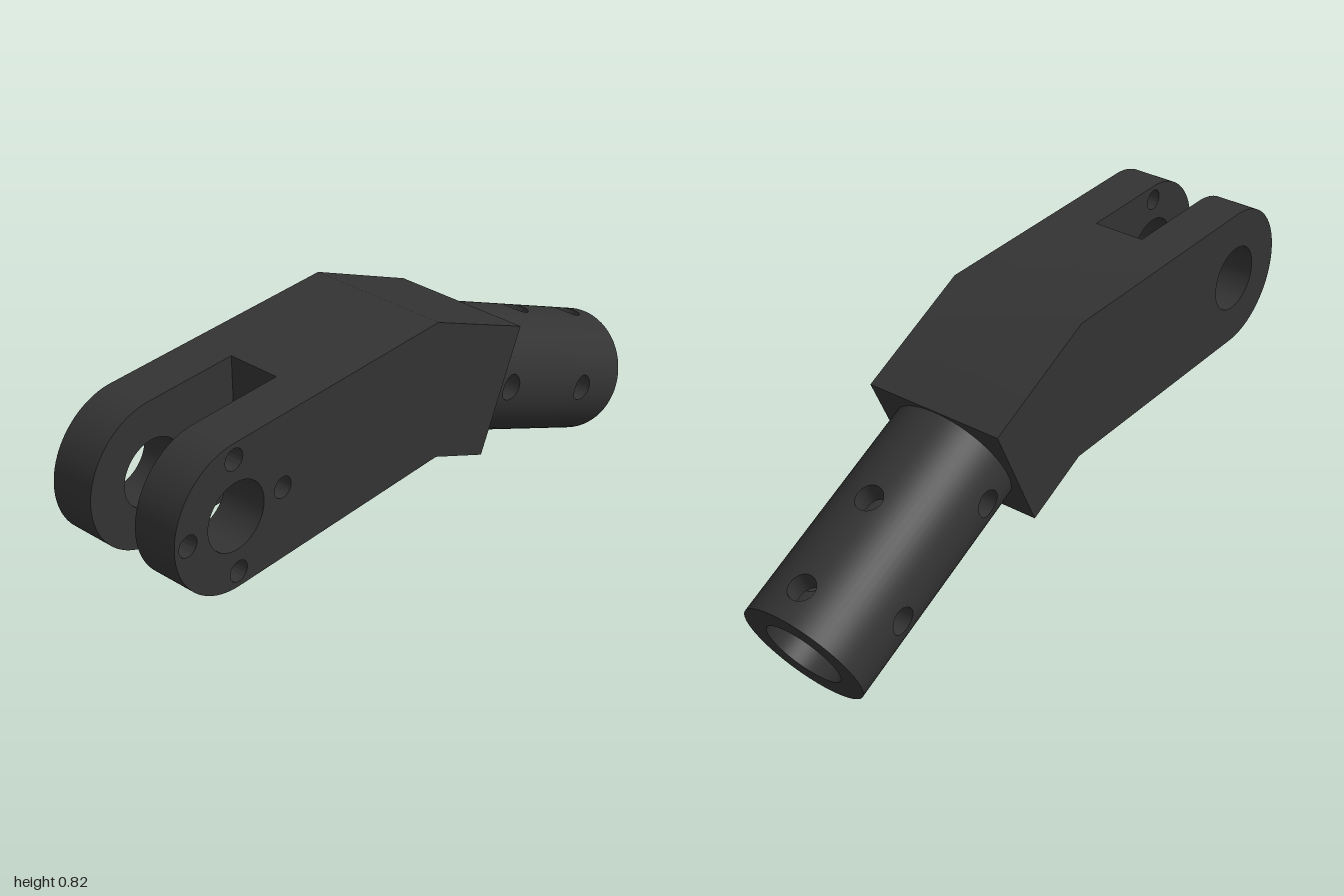
import * as THREE from 'three';
import { toCreasedNormals } from 'three/addons/utils/BufferGeometryUtils.js';

const material = new THREE.MeshStandardMaterial({ color: 0x333333 });
const HALF = 0.217, SLOT = 0.08, SLOT_END = -0.487;
const PIVOT = { x: -0.785, y: 0.6, r: 0.215 };

function addMesh(parent, name, geometry) {
  const mesh = new THREE.Mesh(geometry, material);
  mesh.name = name;
  parent.add(mesh);
}

// Extrude a shape between two depths, keeping curves smooth and edges sharp
function slab(shape, z0, z1) {
  const geo = new THREE.ExtrudeGeometry(shape, { depth: z1 - z0, bevelEnabled: false, curveSegments: 32 });
  geo.translate(0, 0, z0);
  return toCreasedNormals(geo, 0.6);
}

function drill(shape, x, y, r) {
  const hole = new THREE.Path();
  hole.absarc(x, y, r, 0, Math.PI * 2, true);
  shape.holes.push(hole);
}

// Rounded fork arm with its pivot hole
function armShape() {
  const { x, y, r } = PIVOT;
  const shape = new THREE.Shape();
  shape.moveTo(SLOT_END, y + r);
  shape.lineTo(x, y + r);
  shape.absarc(x, y, r, Math.PI / 2, Math.PI * 1.5, false);
  shape.lineTo(SLOT_END, y - r);
  shape.closePath();
  drill(shape, x, y, 0.1);
  return shape;
}

// Tube along +x, cross-drilled: columns of quads broken where they meet a hole
function drilledTube(length, outer, inner, holeR, holesBySide) {
  const pos = [], nor = [];
  const quad = (p, n) => {
    const face = p[1].clone().sub(p[0]).cross(p[2].clone().sub(p[0]));
    const order = face.dot(n[0].clone().add(n[2])) > 0 ? [0, 1, 2, 0, 2, 3] : [0, 2, 1, 0, 3, 2];
    for (const i of order) {
      pos.push(...p[i].toArray());
      nor.push(...n[i].toArray());
    }
  };
  const radial = (a) => new THREE.Vector3(0, Math.cos(a), Math.sin(a));
  const at = (t, r, a) => radial(a).multiplyScalar(r).setX(t);
  const STEPS = 16, GAP = 12;

  for (let side = 0; side < 4; side++) {
    const centre = side * Math.PI / 2, holes = holesBySide[side % 2];
    // Column angles: first across the hole, then on to the next side's hole
    const columns = [];
    for (let k = 0; k <= STEPS; k++) {
      const phi = Math.PI * k / STEPS, s = -holeR * Math.cos(phi);
      columns.push({ o: centre + Math.asin(s / outer), i: centre + Math.asin(s / inner), h: holeR * Math.sin(phi), phi });
    }
    const edge = columns[STEPS];
    for (let k = 1; k <= GAP; k++) {
      const f = k / GAP;
      const across = (from) => from + f * (Math.PI / 2 - 2 * (from - centre));
      columns.push({ o: across(edge.o), i: across(edge.i), h: 0 });
    }
    for (let c = 0; c < columns.length - 1; c++) {
      const A = columns[c], B = columns[c + 1], inHole = c < STEPS;
      const cutsOf = (col) => inHole
        ? [0, ...holes.flatMap((t) => [t - col.h, t + col.h]), length]
        : [0, length];
      const ca = cutsOf(A), cb = cutsOf(B);
      // Outer skin and bore
      for (let j = 0; j < ca.length; j += 2) {
        for (const [r, key, sign] of [[outer, 'o', 1], [inner, 'i', -1]]) {
          const na = radial(A[key]).multiplyScalar(sign), nb = radial(B[key]).multiplyScalar(sign);
          quad([at(ca[j], r, A[key]), at(cb[j], r, B[key]), at(cb[j + 1], r, B[key]), at(ca[j + 1], r, A[key])],
            [na, nb, nb, na]);
        }
      }
      // Walls of the cross holes
      if (inHole) {
        const tangent = new THREE.Vector3(0, -Math.sin(centre), Math.cos(centre));
        const wall = (phi, dir) => tangent.clone().multiplyScalar(Math.cos(phi)).setX(-dir * Math.sin(phi));
        for (const t of holes) for (const dir of [-1, 1]) {
          const ta = t + dir * A.h, tb = t + dir * B.h;
          const na = wall(A.phi, dir), nb = wall(B.phi, dir);
          quad([at(ta, outer, A.o), at(tb, outer, B.o), at(tb, inner, B.i), at(ta, inner, A.i)], [na, nb, nb, na]);
        }
      }
      // End ring
      const n = new THREE.Vector3(1, 0, 0);
      quad([at(length, outer, A.o), at(length, outer, B.o), at(length, inner, B.i), at(length, inner, A.i)], [n, n, n, n]);
    }
  }
  const geo = new THREE.BufferGeometry();
  geo.setAttribute('position', new THREE.Float32BufferAttribute(pos, 3));
  geo.setAttribute('normal', new THREE.Float32BufferAttribute(nor, 3));
  return geo;
}

export function createModel() {
  const model = new THREE.Group();
  model.name = 'angledForkBracket';

  // Solid bent body
  const body = new THREE.Shape([
    [SLOT_END, 0.385], [0, 0.385], [0.205, 0.29], [0.37, 0.643], [0, 0.815], [SLOT_END, 0.815],
  ].map(([x, y]) => new THREE.Vector2(x, y)));
  addMesh(model, 'bentBody', slab(body, -HALF, HALF));

  // Fork arms: the front one also carries four bolt holes
  const front = armShape();
  for (let k = 0; k < 4; k++) {
    const a = k * Math.PI / 2;
    drill(front, PIVOT.x + 0.169 * Math.cos(a), PIVOT.y + 0.169 * Math.sin(a), 0.031);
  }
  addMesh(model, 'frontForkArm', slab(front, SLOT, HALF));
  addMesh(model, 'backForkArm', slab(armShape(), -HALF, -SLOT));

  // Sloping hollow tube with top-to-bottom and side-to-side holes
  const tube = new THREE.Group();
  tube.name = 'tube';
  tube.position.set(0.2875, 0.4665, 0);
  tube.rotation.z = -25 * Math.PI / 180;
  addMesh(tube, 'tubeWall', drilledTube(0.697, 0.19, 0.119, 0.04, [[0.298, 0.597], [0.098, 0.496]]));
  model.add(tube);

  return model;
}
